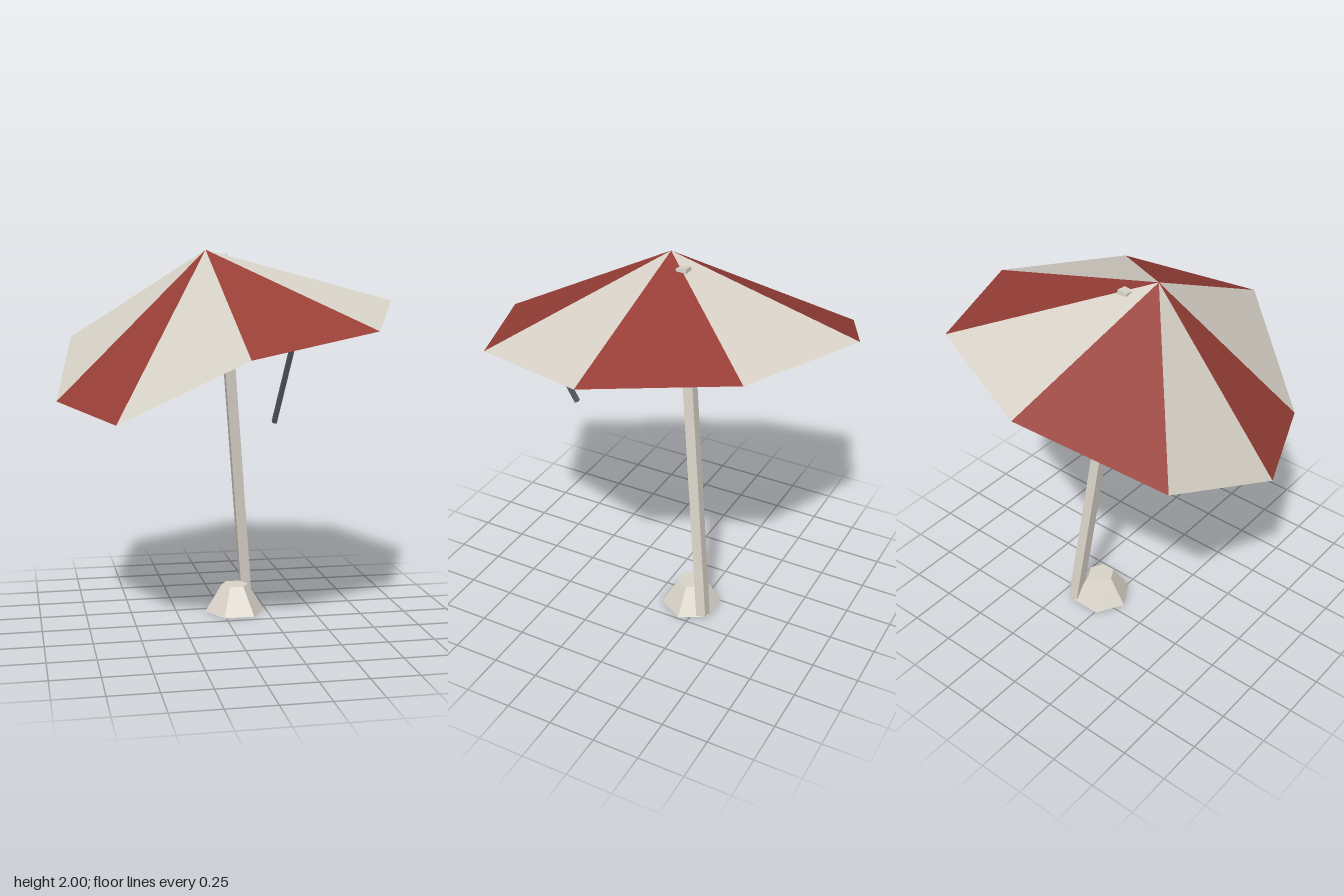
import * as THREE from 'three';

const mat = (name, color, extra = {}) => {
  const m = new THREE.MeshStandardMaterial({ color, flatShading: true, ...extra });
  m.name = name;
  return m;
};

export function createModel() {
  const group = new THREE.Group();
  const cream = mat('cream', 0xdbd5ca);
  const creamCloth = mat('cream cloth', 0xdbd5ca, { side: THREE.DoubleSide });
  const redCloth = mat('red cloth', 0x983f37, { side: THREE.DoubleSide });
  const slate = mat('slate metal', 0x59636c);

  const add = (name, geometry, material) => {
    const mesh = new THREE.Mesh(geometry, material);
    mesh.name = name;
    group.add(mesh);
    return mesh;
  };

  // Turns a mesh so that its y axis follows a direction
  const up = new THREE.Vector3(0, 1, 0);
  const align = (mesh, dir) => mesh.quaternion.setFromUnitVectors(up, dir.clone().normalize());

  // Square bar running between two points
  const bar = (name, a, b, width, material) => {
    const dir = b.clone().sub(a);
    const mesh = add(name, new THREE.BoxGeometry(width, dir.length(), width), material);
    mesh.position.copy(a).add(b).multiplyScalar(0.5);
    align(mesh, dir);
    return dir;
  };

  // Tilted canopy: eight flat panels in alternating colours
  const apex = [-0.125, 2, 0.045];
  const rim = [
    [-0.1, 1.75, -0.98], [0.6, 1.785, -0.695], [0.892, 1.73, 0], [0.61, 1.617, 0.695],
    [-0.075, 1.515, 0.98], [-0.645, 1.175, 0.555], [-0.897, 1.222, -0.04], [-0.777, 1.505, -0.715],
  ];
  const canopy = (name, start, material) => {
    const points = [];
    for (let i = start; i < 8; i += 2) points.push(...apex, ...rim[(i + 1) % 8], ...rim[i]);
    const geometry = new THREE.BufferGeometry();
    geometry.setAttribute('position', new THREE.Float32BufferAttribute(points, 3));
    geometry.computeVertexNormals();
    add(name, geometry, material);
  };
  canopy('creamCanopyPanels', 0, creamCloth);
  canopy('redCanopyPanels', 1, redCloth);

  // Leaning pole
  const lean = bar('pole', new THREE.Vector3(0.165, 0.013, -0.31),
    new THREE.Vector3(-0.02, 1.975, -0.078), 0.056, cream);

  // Six-sided foot
  const foot = add('base', new THREE.CylinderGeometry(0.075, 0.167, 0.15, 6, 1, false, Math.PI / 2), cream);
  foot.position.set(0.075, 0.075, -0.195);

  // Winding housing on the pole
  const housing = add('crankHousing', new THREE.CylinderGeometry(0.076, 0.076, 0.12, 6, 1, false, Math.PI / 2), slate);
  housing.position.set(-0.06, 1.603, -0.198);
  align(housing, lean);

  // Loose crank handle under the canopy
  bar('crankHandle', new THREE.Vector3(0.147, 1.158, 0.463),
    new THREE.Vector3(0.197, 1.578, 0.658), 0.022, slate);

  return group;
}
